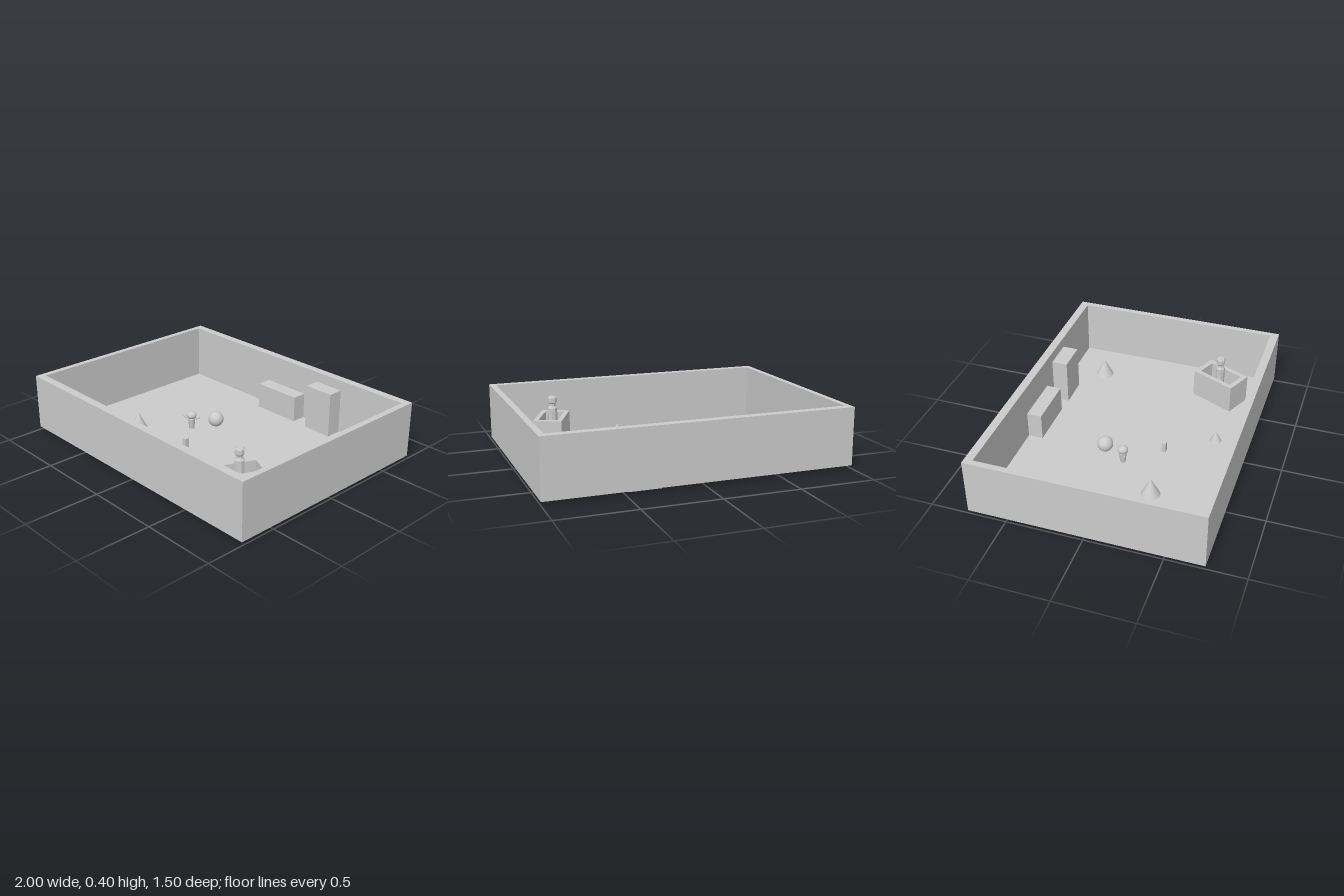
import * as THREE from 'three';

const FLOOR = 0.022;

export function createModel() {
  const room = new THREE.Group();
  room.name = 'playroom';
  const grey = new THREE.MeshStandardMaterial({ color: 0xcccccc });
  const thin = new THREE.MeshStandardMaterial({ color: 0xcccccc, side: THREE.DoubleSide });

  function add(parent, name, geometry, x = 0, y = 0, z = 0, material = grey) {
    const mesh = new THREE.Mesh(geometry, material);
    mesh.name = name;
    mesh.position.set(x, y, z);
    parent.add(mesh);
    return mesh;
  }

  // Upright rectangular frame, open through the middle, standing on y = 0
  function frame(width, depth, innerWidth, innerDepth, height) {
    const rect = (Type, w, d) => new Type([[-1, -1], [1, -1], [1, 1], [-1, 1]]
      .map(([x, y]) => new THREE.Vector2(x * w / 2, y * d / 2)));
    const shape = rect(THREE.Shape, width, depth);
    shape.holes.push(rect(THREE.Path, innerWidth, innerDepth));
    return new THREE.ExtrudeGeometry(shape, { depth: height, bevelEnabled: false }).rotateX(-Math.PI / 2);
  }

  // Walls and thin floor
  add(room, 'walls', frame(2, 1.5, 1.92, 1.39, 0.4 - FLOOR), 0, FLOOR, 0);
  add(room, 'floor', new THREE.PlaneGeometry(1.92, 1.39).rotateX(-Math.PI / 2), 0, FLOOR + 0.001, 0, thin);

  // Cabinets against the back wall
  add(room, 'lowCabinet', new THREE.BoxGeometry(0.345, 0.19, 0.1), -0.027, 0.108, -0.645);
  add(room, 'tallCabinet', new THREE.BoxGeometry(0.21, 0.33, 0.107), 0.362, 0.165, -0.642);

  // Cones, ball and block lying around
  for (const [x, z, r, h] of [[-0.51, 0.267, 0.064, 0.125], [0.665, -0.458, 0.064, 0.125], [0.14, 0.521, 0.041, 0.08]]) {
    add(room, 'cone', new THREE.ConeGeometry(r, h, 32), x, FLOOR - 0.002 + h / 2, z);
  }
  add(room, 'ball', new THREE.SphereGeometry(0.053, 32, 20), -0.18, 0.072, -0.152);
  add(room, 'block', new THREE.BoxGeometry(0.03, 0.07, 0.03), -0.07, 0.055, 0.222);

  // Small toy figure with outstretched arms
  const toy = new THREE.Group();
  toy.name = 'toyFigure';
  toy.position.set(-0.262, FLOOR, 0);
  toy.rotation.y = 0.5;
  room.add(toy);
  add(toy, 'toyBody', new THREE.CylinderGeometry(0.026, 0.018, 0.07, 12), 0, 0.04, 0);
  add(toy, 'toyHead', new THREE.SphereGeometry(0.035, 20, 12), 0, 0.1, 0).scale.y = 0.8;
  for (const side of [-1, 1]) {
    add(toy, 'toyArm', new THREE.CylinderGeometry(0.005, 0.005, 0.045, 8), side * 0.04, 0.08, 0)
      .rotation.z = -side * 1.15;
    add(toy, 'toyLeg', new THREE.CylinderGeometry(0.008, 0.008, 0.02, 8), side * 0.012, 0.008, 0);
  }

  // Open crate, turned at an angle
  const crate = new THREE.Group();
  crate.name = 'crate';
  crate.position.set(0.642, FLOOR - 0.002, 0.422);
  crate.rotation.y = -0.426;
  room.add(crate);
  add(crate, 'crateSides', frame(0.192, 0.324, 0.13, 0.256, 0.2));
  add(crate, 'crateBottom', new THREE.BoxGeometry(0.13, 0.02, 0.256), 0, 0.01, 0);

  // Peg with a waisted top standing in the crate
  const profile = [[0, 0], [0.032, 0], [0.032, 0.235], [0.022, 0.25], [0.022, 0.265],
    [0.031, 0.275], [0.031, 0.305], [0.024, 0.315], [0, 0.315]];
  const peg = new THREE.LatheGeometry(profile.map(([r, y]) => new THREE.Vector2(r, y)), 8).toNonIndexed();
  peg.computeVertexNormals();
  add(crate, 'peg', peg, -0.008, 0.02, -0.002);

  return room;
}
